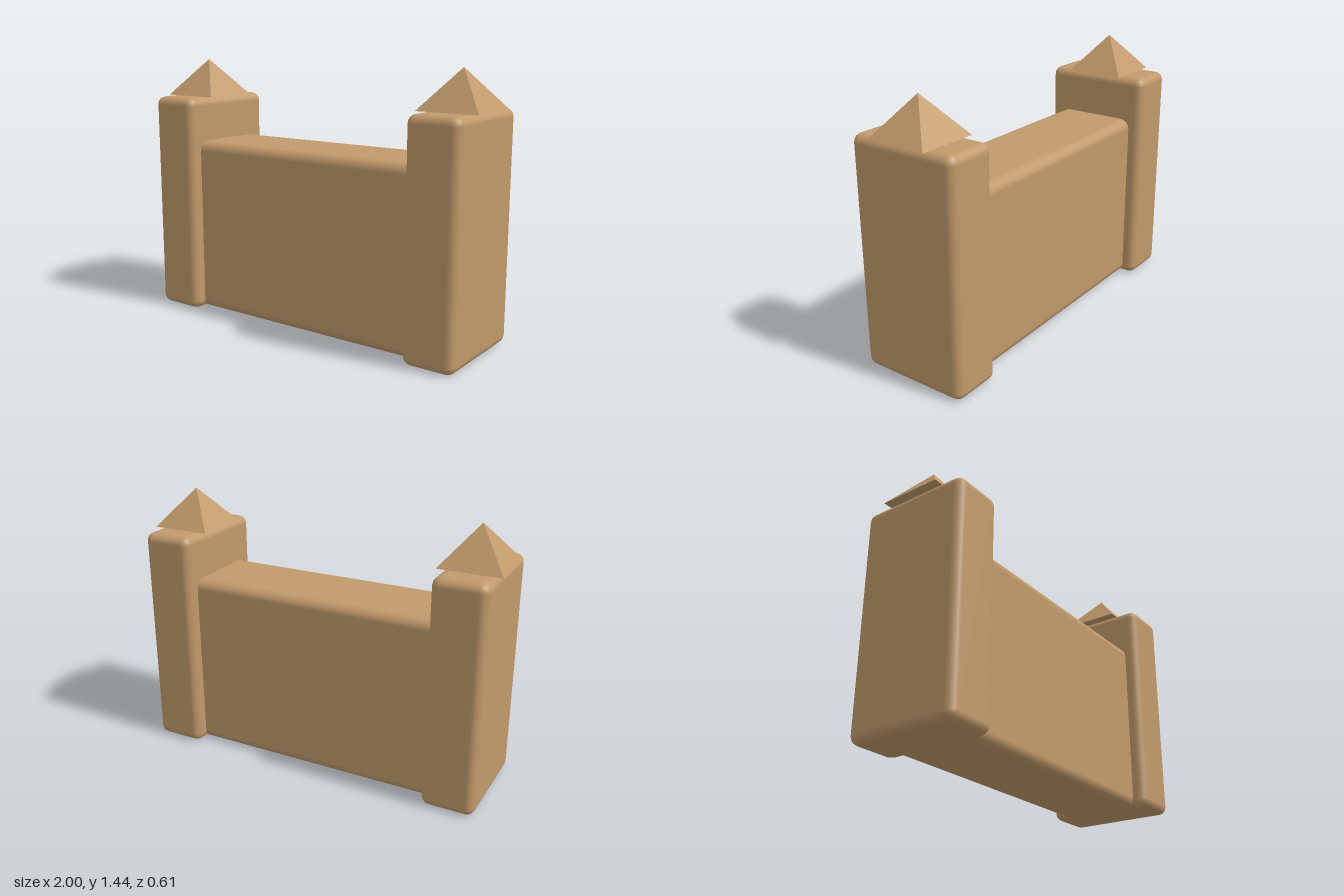
import * as THREE from 'three';
import { RoundedBoxGeometry } from 'three/addons/geometries/RoundedBoxGeometry.js';

export function createModel() {
  const model = new THREE.Group();
  model.name = 'gateWall';
  const sandstone = new THREE.MeshStandardMaterial({ color: 0xc19a6b });
  sandstone.name = 'sandstone';

  const add = (name, geometry, x, y) => {
    const mesh = new THREE.Mesh(geometry, sandstone);
    mesh.name = name;
    mesh.position.set(x, y, 0);
    model.add(mesh);
  };

  // Wall, its rounded ends buried in the posts
  const wallHeight = 0.985;
  add('wall', new RoundedBoxGeometry(1.62, wallHeight, 0.465, 2, 0.055), 0, wallHeight / 2);

  // Soft-edged end posts
  const postHeight = 1.232;
  const post = new RoundedBoxGeometry(0.285, postHeight, 0.612, 2, 0.045);

  // Four-sided caps with flat faces
  const capHeight = 0.206;
  const cap = new THREE.ConeGeometry(0.167 * Math.SQRT2, capHeight, 4)
    .rotateY(Math.PI / 4)
    .toNonIndexed();
  cap.computeVertexNormals();

  for (const [side, sign] of [['left', 1], ['right', -1]]) {
    add(side + 'Post', post, sign * 0.833, postHeight / 2);
    add(side + 'Cap', cap, sign * 0.833, postHeight + capHeight / 2);
  }

  return model;
}
